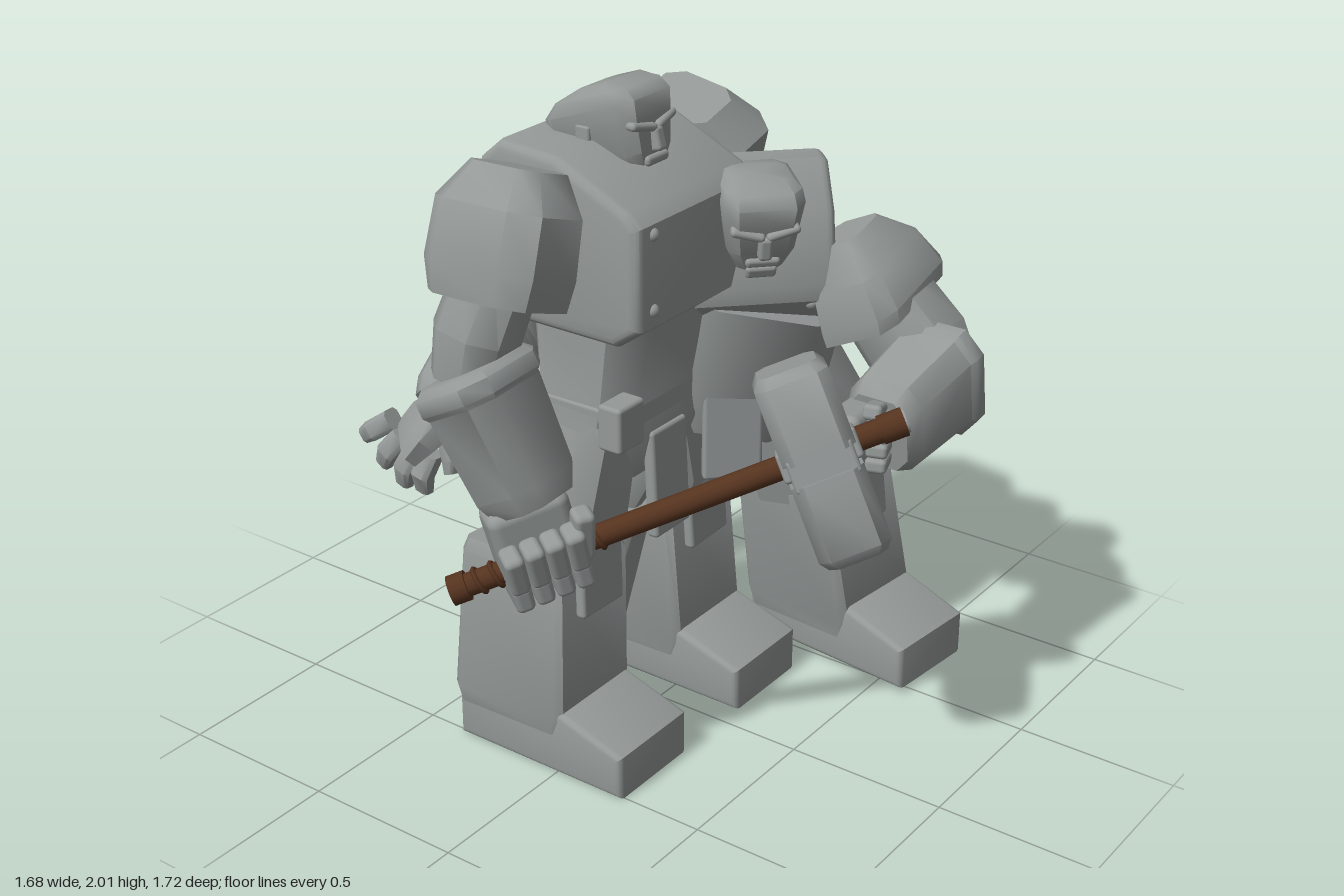
import * as THREE from 'three';
import { toCreasedNormals } from 'three/addons/utils/BufferGeometryUtils.js';
import { RoundedBoxGeometry } from 'three/addons/geometries/RoundedBoxGeometry.js';

const V = (a) => new THREE.Vector3(...a);
const stone = new THREE.MeshStandardMaterial({ color: 0x949998 });
stone.name = 'grey stone';
const wood = new THREE.MeshStandardMaterial({ color: 0x55331f });
wood.name = 'brown wood';

function add(parent, name, geometry, pos = [0, 0, 0], rot = [0, 0, 0], mat = stone) {
  const m = new THREE.Mesh(geometry, mat);
  m.name = name;
  m.position.set(...pos);
  m.rotation.set(...rot);
  parent.add(m);
  return m;
}

function block(parent, name, size, pos, rot, r = 0.012) {
  return add(parent, name, new RoundedBoxGeometry(...size, 2, r), pos, rot);
}

// Bevelled slab from a side profile of [z, y] points, centred on x
function slab(parent, name, pts, width, bevel) {
  const shape = new THREE.Shape(pts.map((p) => new THREE.Vector2(...p)));
  const depth = width - 2 * bevel;
  const g = new THREE.ExtrudeGeometry(shape, {
    depth, bevelSize: bevel, bevelThickness: bevel, bevelOffset: -bevel, bevelSegments: 3 });
  return add(parent, name, toCreasedNormals(g, 0.55), [depth / 2, 0, 0], [0, -Math.PI / 2, 0]);
}

// Skin through bevelled rectangular sections [x, y, z, width, depth];
// ref is the direction in which width is measured.
function loft(parent, name, ref, secs, bevel = 0.2) {
  const dir = V(secs[secs.length - 1]).sub(V(secs[0])).normalize();
  const ax = V(ref).addScaledVector(dir, -V(ref).dot(dir)).normalize();
  const az = ax.clone().cross(dir);
  const k = 0.5 - bevel;
  const ring = [[0.5, -k], [0.5, k], [k, 0.5], [-k, 0.5], [-0.5, k], [-0.5, -k], [-k, -0.5], [k, -0.5]];
  const pos = [], idx = [], n = 8, last = secs.length - 1;
  for (const [x, y, z, w, d] of secs) {
    for (const [a, b] of ring) {
      const p = V([x, y, z]).addScaledVector(ax, a * w).addScaledVector(az, b * d);
      pos.push(p.x, p.y, p.z);
    }
  }
  for (const s of [0, last]) pos.push(...secs[s].slice(0, 3));
  for (let i = 0; i < n; i++) {
    const j = (i + 1) % n;
    for (let s = 0; s < last; s++) {
      const a = s * n, b = a + n;
      idx.push(a + i, b + i, b + j, a + i, b + j, a + j);
    }
    idx.push((last + 1) * n, i, j, (last + 1) * n + 1, last * n + j, last * n + i);
  }
  const g = new THREE.BufferGeometry();
  g.setAttribute('position', new THREE.Float32BufferAttribute(pos, 3));
  g.setIndex(idx);
  return add(parent, name, toCreasedNormals(g, 0.8));
}

function group(parent, name, pos = [0, 0, 0]) {
  const g = new THREE.Group();
  g.name = name;
  g.position.set(...pos);
  parent.add(g);
  return g;
}

// Boxy chest, sloping at the top front, with riveted plates
function chest(parent) {
  const g = group(parent, 'chest');
  slab(g, 'chestShell', [[-0.27, 0.2], [-0.27, -0.2], [-0.2, -0.26], [0.2, -0.26], [0.28, -0.2],
    [0.28, 0.1], [0.24, 0.14], [0.0, 0.25], [-0.2, 0.26]], 0.57, 0.03);
  block(g, 'backPlate', [0.44, 0.32, 0.02], [0, 0.02, -0.27], [0, 0, 0], 0.008);
  const rivet = new THREE.SphereGeometry(0.02, 10, 8);
  for (const x of [-0.21, 0.21]) for (const y of [-0.15, 0.07]) {
    add(g, 'rivet', rivet, [x, y, 0.275]);
    add(g, 'rivet', rivet, [x * 0.92, y + 0.06, -0.272]);
  }
  return g;
}

// Bald head with heavy brow and jaw
function head(parent) {
  const g = group(parent, 'head');
  loft(g, 'skull', [1, 0, 0], [
    [0, -0.13, 0.09, 0.13, 0.13], [0, -0.08, 0.06, 0.19, 0.21], [0, -0.01, 0.0, 0.22, 0.32],
    [0, 0.05, -0.01, 0.235, 0.33], [0, 0.09, -0.01, 0.22, 0.26], [0, 0.12, 0.0, 0.17, 0.12]], 0.15);
  block(g, 'nose', [0.04, 0.07, 0.05], [0, -0.02, 0.155], [-0.25, 0, 0]);
  block(g, 'moustache', [0.1, 0.03, 0.04], [0, -0.075, 0.15]);
  block(g, 'chin', [0.09, 0.04, 0.05], [0, -0.115, 0.14]);
  for (const s of [-1, 1]) {
    block(g, 'brow', [0.1, 0.025, 0.04], [s * 0.05, 0.025, 0.145], [0, s * 0.15, s * 0.2]);
    block(g, 'ear', [0.02, 0.07, 0.05], [s * 0.108, -0.02, -0.01], [0, 0, 0], 0.008);
  }
  return g;
}

// Flared shin armour, knee plate and heavy boot; toe along +z
function lowerLeg(parent, name, pos, yaw, lean) {
  const g = group(parent, name, pos);
  g.rotation.y = yaw;
  loft(g, 'shinArmour', [1, 0, 0], [
    [0, 0.12, 0, 0.34, 0.38], [0, 0.17, 0, 0.35, 0.41], [lean * 0.95, 0.62, 0, 0.34, 0.37],
    [lean, 0.66, -0.01, 0.31, 0.33]], 0.06);
  block(g, 'kneePlate', [0.19, 0.21, 0.035], [lean, 0.59, 0.2], [-0.05, 0, -lean]);
  slab(g, 'boot', [[-0.19, 0], [0.42, 0], [0.42, 0.14], [0.2, 0.21], [-0.19, 0.22]], 0.33, 0.02);
}

// Armoured cuff over the forearm with a collar at the elbow
function gauntlet(parent, ref, a, b, w, d) {
  const at = (t, s) => [...V(a).lerp(V(b), t).toArray(), w * s, d * s];
  loft(parent, 'gauntlet', ref, [at(0, 0.92), at(0.05, 1.05), at(0.16, 1.05), at(0.2, 0.97), at(0.85, 0.86), at(1, 0.7)]);
}

// Closed hand with four curled fingers
function fist(parent, pos, rot, size = 1) {
  const g = group(parent, 'fist', pos);
  g.rotation.set(...rot);
  g.scale.setScalar(size);
  block(g, 'palm', [0.2, 0.2, 0.12], [0, 0.03, -0.03], [0, 0, 0], 0.03);
  for (let i = 0; i < 4; i++) {
    const x = (i - 1.5) * 0.05;
    block(g, 'knuckle', [0.048, 0.11, 0.07], [x, 0.0, 0.05], [0.25, 0, 0], 0.015);
    block(g, 'fingertip', [0.046, 0.07, 0.11], [x, -0.075, 0.01], [0.1, 0, 0], 0.015);
  }
  block(g, 'thumb', [0.05, 0.13, 0.06], [0.1, 0.02, 0.04], [0.2, 0, -0.2], 0.015);
}

function standingFigure(root) {
  const f = group(root, 'standingFigure', [-0.06, 0, 0]);
  chest(f).position.set(0, 1.59, -0.1);
  head(f).position.set(0, 1.865, -0.125);
  loft(f, 'waist', [1, 0, 0], [
    [0, 0.86, -0.12, 0.4, 0.32], [0, 0.98, -0.12, 0.5, 0.38], [0, 1.12, -0.11, 0.44, 0.36], [0, 1.36, -0.1, 0.44, 0.42]]);
  block(f, 'belt', [0.46, 0.08, 0.38], [0, 1.06, -0.12]);
  block(f, 'loinPlate', [0.17, 0.34, 0.04], [0, 0.82, 0.07], [-0.05, 0, 0]);
  for (const s of [-1, 1]) {
    const back = s > 0 ? 0.07 : 0; // the left arm hangs further back
    loft(f, 'pauldron', [1, 0, 0], [
      [s * 0.5, 1.49, -0.13 - back, 0.3, 0.34], [s * 0.485, 1.58, -0.13 - back, 0.31, 0.38],
      [s * 0.44, 1.74, -0.13, 0.29, 0.37], [s * 0.38, 1.835, -0.14, 0.2, 0.24]]);
    block(f, 'beltPouch', [0.12, 0.14, 0.08], [s * 0.23, 1.08, 0.08]);
    loft(f, 'thigh', [1, 0, 0], [
      [s * 0.27, 0.6, -0.15, 0.26, 0.3], [s * 0.26, 0.76, -0.13, 0.31, 0.36], [s * 0.18, 1.04, -0.11, 0.26, 0.32]]);
    lowerLeg(f, 'lowerLeg', [s * 0.295, 0, -0.18], 0, -s * 0.03);
    loft(f, 'upperArm', [1, 0, 0], [
      [s * 0.56, 1.26, -0.19 - back, 0.2, 0.2], [s * 0.54, 1.4, -0.17 - back, 0.23, 0.23], [s * 0.47, 1.6, -0.13 - back, 0.2, 0.22]], 0.28);
  }
  gauntlet(f, [1, 0, 0], [-0.59, 1.32, -0.15], [-0.57, 0.96, 0.04], 0.31, 0.27);
  fist(f, [-0.58, 0.83, 0.06], [0, -0.6, 0.25], 1.2);
  gauntlet(f, [1, 0, 0], [0.62, 1.33, -0.18], [0.62, 0.98, 0.03], 0.26, 0.25);
  fist(f, [0.6, 0.85, 0.05], [0, 0.5, -0.05]);
}

function leaningFigure(root) {
  const f = group(root, 'leaningFigure');
  // Torso bent forward and turned towards -x and +z
  const left = V([0.707, 0, 0.707]), up = V([-0.5, 0.707, 0.5]);
  const basis = new THREE.Matrix4().makeBasis(left, up, left.clone().cross(up));
  const c = chest(f);
  c.quaternion.setFromRotationMatrix(basis);
  c.position.set(0.29, 1.42, 0.05);
  c.scale.set(0.95, 0.95, 0.8);
  const h = head(f);
  h.position.set(0.18, 1.62, 0.2);
  h.rotation.set(0.4, -0.75, 0, 'YXZ');
  loft(f, 'waist', [1, 0, 1], [
    [0.3, 0.88, 0.0, 0.42, 0.34], [0.32, 1.02, 0.04, 0.5, 0.42], [0.34, 1.3, 0.1, 0.5, 0.44]]);
  block(f, 'loinPlate', [0.18, 0.3, 0.04], [0.16, 0.9, 0.15], [0, -0.78, 0]);

  // Left arm reaching across to the hammer
  loft(f, 'pauldron', [1, 0, 0], [
    [0.47, 1.27, 0.47, 0.4, 0.27], [0.47, 1.31, 0.46, 0.41, 0.28], [0.45, 1.41, 0.41, 0.34, 0.25], [0.42, 1.5, 0.36, 0.18, 0.15]], 0.14);
  loft(f, 'upperArm', [1, 0, 0], [
    [0.49, 1.06, 0.66, 0.22, 0.24], [0.49, 1.17, 0.58, 0.27, 0.28], [0.48, 1.36, 0.4, 0.25, 0.25]], 0.24);
  gauntlet(f, [0, 1, 0], [0.49, 1.12, 0.67], [0.12, 1.06, 0.67], 0.32, 0.27);
  fist(f, [0.085, 1.06, 0.65], [0, 0.1, 1.5], 0.9);

  // Right arm trailing behind with an open hand
  loft(f, 'pauldron', [1, 0, -0.5], [
    [0.08, 1.26, -0.46, 0.26, 0.26], [0.12, 1.36, -0.4, 0.3, 0.28], [0.18, 1.46, -0.28, 0.24, 0.22]]);
  loft(f, 'upperArm', [1, 0, 0], [
    [-0.02, 1.1, -0.56, 0.2, 0.2], [0.05, 1.24, -0.5, 0.23, 0.23], [0.12, 1.4, -0.38, 0.2, 0.2]], 0.28);
  gauntlet(f, [0, 0, 1], [0.0, 1.15, -0.57], [-0.32, 0.95, -0.55], 0.26, 0.26);
  loft(f, 'palm', [0, 0.5, 1], [
    [-0.3, 0.97, -0.54, 0.14, 0.13], [-0.36, 0.9, -0.61, 0.19, 0.1], [-0.38, 0.84, -0.66, 0.19, 0.07]]);
  const bases = [[0.9, -0.72], [0.86, -0.68], [0.83, -0.63], [0.83, -0.57]];
  const tips = [[0.82, -0.83], [0.745, -0.76], [0.7, -0.68], [0.7, -0.6]];
  bases.forEach(([y, z], i) => {
    const [ty, tz] = tips[i];
    loft(f, 'finger', [1, 0, 0], [
      [-0.37, y, z, 0.06, 0.065], [-0.4, (y + ty) / 2, (z + tz) / 2, 0.06, 0.065], [-0.38, ty, tz, 0.045, 0.05]]);
  });
  loft(f, 'thumb', [1, 0, 0], [
    [-0.34, 0.92, -0.54, 0.06, 0.06], [-0.36, 0.82, -0.5, 0.055, 0.055], [-0.37, 0.78, -0.5, 0.035, 0.035]]);

  // Left leg planted forward, right leg behind
  loft(f, 'leftThigh', [1, 0, 0], [
    [0.53, 0.6, 0.2, 0.28, 0.34], [0.52, 0.78, 0.2, 0.33, 0.41], [0.42, 1.14, 0.11, 0.3, 0.27]]);
  lowerLeg(f, 'leftLowerLeg', [0.65, 0.02, 0.2], -0.1, -0.1);
  loft(f, 'rightThigh', [1, 0, 0], [
    [0.08, 0.6, -0.28, 0.28, 0.3], [0.11, 0.78, -0.21, 0.32, 0.34], [0.2, 1.06, -0.08, 0.28, 0.32]]);
  lowerLeg(f, 'rightLowerLeg', [0.09, 0, -0.37], -1.5, 0.14);
}

// Two-faced maul held across the front; local y runs along the handle
function hammer(root) {
  const a = V([-0.8, 0.71, -0.12]), b = V([0.03, 1.165, 0.8]);
  const len = a.distanceTo(b), y = b.clone().sub(a).normalize();
  const z = V([0, 0.898, -0.44]).addScaledVector(y, -y.y * 0.898 + y.z * 0.44).normalize();
  const g = group(root, 'hammer', a.toArray());
  g.quaternion.setFromRotationMatrix(new THREE.Matrix4().makeBasis(y.clone().cross(z), y, z));
  add(g, 'handle', new THREE.CylinderGeometry(0.036, 0.034, len, 14), [0, len / 2, 0], [0, 0, 0], wood);
  add(g, 'pommel', new THREE.CylinderGeometry(0.044, 0.044, 0.05, 14), [0, 0.02, 0], [0, 0, 0], wood);
  add(g, 'handleTip', new THREE.CylinderGeometry(0.042, 0.042, 0.07, 14), [0, len - 0.03, 0], [0, 0, 0], wood);
  add(g, 'tipCap', new THREE.CylinderGeometry(0.034, 0.034, 0.008, 14), [0, len + 0.007, 0]);
  for (let i = 0; i < 8; i++) {
    add(g, 'gripRing', new THREE.TorusGeometry(0.036, 0.008, 6, 14), [0, 0.08 + i * 0.05, 0], [Math.PI / 2 + 0.2, 0, 0], wood);
  }
  const m = len * 0.815;
  for (const s of [-1, 1]) {
    const secs = [0.03, 0.05, 0.25, 0.28].map((h, i) => [0, m, s * h - 0.02, i === 3 ? 0.2 : 0.25, i === 3 ? 0.17 : 0.21]);
    loft(g, 'hammerFace', [1, 0, 0], secs, 0.16);
  }
  block(g, 'hammerCore', [0.22, 0.19, 0.1], [0, m, -0.02]);
  block(g, 'hammerCollar', [0.09, 0.23, 0.09], [0, m, 0]);
}

export function createModel() {
  const root = new THREE.Group();
  root.name = 'armouredPair';
  standingFigure(root);
  leaningFigure(root);
  hammer(root);
  return root;
}
